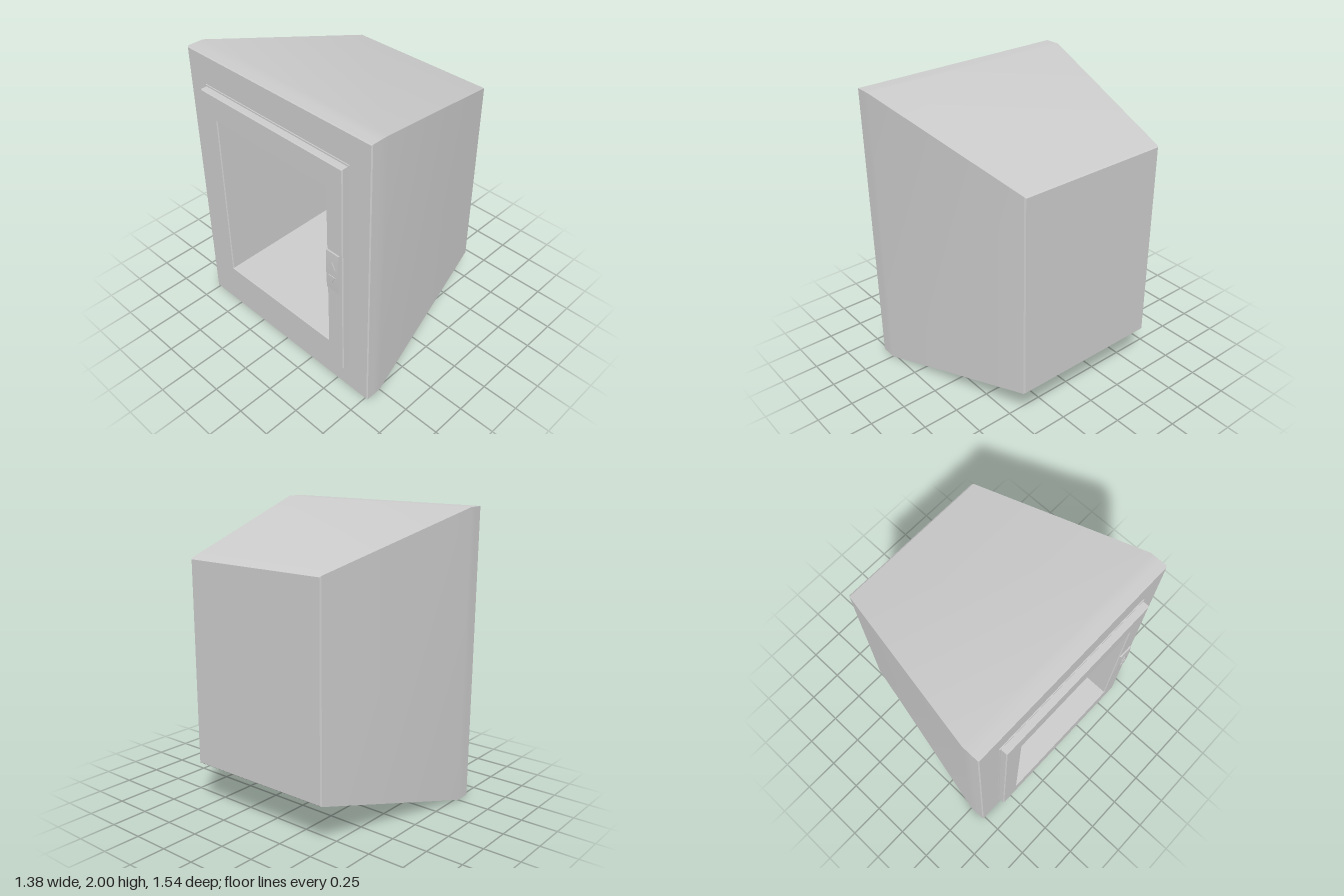
import * as THREE from 'three';
import { toCreasedNormals } from 'three/addons/utils/BufferGeometryUtils.js';

const MID = 1; // height of the centre line
const grey = new THREE.MeshStandardMaterial({ color: 0xcccccc, side: THREE.DoubleSide });

function part(name, geometry) {
  const mesh = new THREE.Mesh(geometry, grey);
  mesh.name = name;
  return mesh;
}

// Skins a chain of rectangles [x, half height, half depth]
function loft(rings) {
  const corners = [[1, 1], [1, -1], [-1, -1], [-1, 1]];
  const pos = [];
  const point = ([x, h, d], k) => {
    const [sy, sz] = corners[k % 4];
    return new THREE.Vector3(x, MID + sy * h, sz * d);
  };
  const tri = (a, b, c) => {
    if (a.distanceTo(b) * b.distanceTo(c) * c.distanceTo(a) > 0) {
      for (const p of [a, b, c]) pos.push(p.x, p.y, p.z);
    }
  };
  for (let i = 0; i < rings.length - 1; i++) {
    for (let k = 0; k < 4; k++) {
      const a = point(rings[i], k), b = point(rings[i], k + 1);
      const c = point(rings[i + 1], k + 1), d = point(rings[i + 1], k);
      tri(a, d, c);
      tri(a, c, b);
    }
  }
  const g = new THREE.BufferGeometry();
  g.setAttribute('position', new THREE.Float32BufferAttribute(pos, 3));
  return toCreasedNormals(g, 0.4);
}

function rect(path, halfW, halfH) {
  path.moveTo(-halfW, -halfH).lineTo(halfW, -halfH).lineTo(halfW, halfH).lineTo(-halfW, halfH);
  path.closePath();
  return path;
}

// Extrudes a (z, y) outline towards -x, starting at x = from
function plate(shape, from, thick, bevel) {
  const g = new THREE.ExtrudeGeometry(shape, {
    depth: thick - bevel, bevelEnabled: bevel > 0, bevelThickness: bevel,
    bevelSize: bevel, bevelOffset: -bevel, bevelSegments: 1, curveSegments: 8,
  });
  g.rotateY(-Math.PI / 2);
  g.translate(from, MID, 0);
  return g;
}

function frameShape(w, h) {
  const s = rect(new THREE.Shape(), w, h);
  s.holes.push(rect(new THREE.Path(), 0.475, 0.607));
  return s;
}

export function createModel() {
  const model = new THREE.Group();
  model.name = 'cabinet';

  // Straight inner chamber, flat face and tapered outer shell in one skin
  model.add(part('cabinetBody', loft([
    [0.6, 0, 0], [0.6, 0.607, 0.475], [-0.62, 0.607, 0.475],
    [-0.62, 0.993, 0.763], [-0.613, 1, 0.77], [-0.56, 1, 0.77], [-0.5, 1, 0.77],
    [0.68, 0.692, 0.533], [0.69, 0.684, 0.526], [0.69, 0, 0],
  ])));

  // Door frame with its thin seal
  model.add(part('doorSeal', plate(frameShape(0.613, 0.797), -0.62, 0.007, 0)));
  model.add(part('doorFrame', plate(frameShape(0.605, 0.787), -0.62, 0.052, 0.006)));

  // Slightly bowed latch plate: side profile in (x, y), extruded along z
  const latch = new THREE.Group();
  latch.name = 'latch';
  const profile = new THREE.Shape();
  profile.moveTo(-0.665, -0.13).lineTo(-0.682, -0.13);
  profile.quadraticCurveTo(-0.69, 0.018, -0.682, 0.165);
  profile.lineTo(-0.665, 0.165);
  profile.closePath();
  const latchGeometry = new THREE.ExtrudeGeometry(profile, { depth: 0.1, bevelEnabled: false, curveSegments: 10 });
  latchGeometry.translate(0, MID, 0.482);
  latch.add(part('latchPlate', toCreasedNormals(latchGeometry, 0.4)));

  // Paired triangular buttons, pointing up and down
  for (const s of [1, -1]) {
    const arrow = new THREE.Shape();
    const y = 0.018 + s * 0.03;
    arrow.moveTo(0.505, y).lineTo(0.559, y).lineTo(0.532, y + s * 0.05);
    arrow.closePath();
    latch.add(part('latchButton', plate(arrow, -0.68, 0.01, 0)));
  }
  model.add(latch);

  return model;
}
